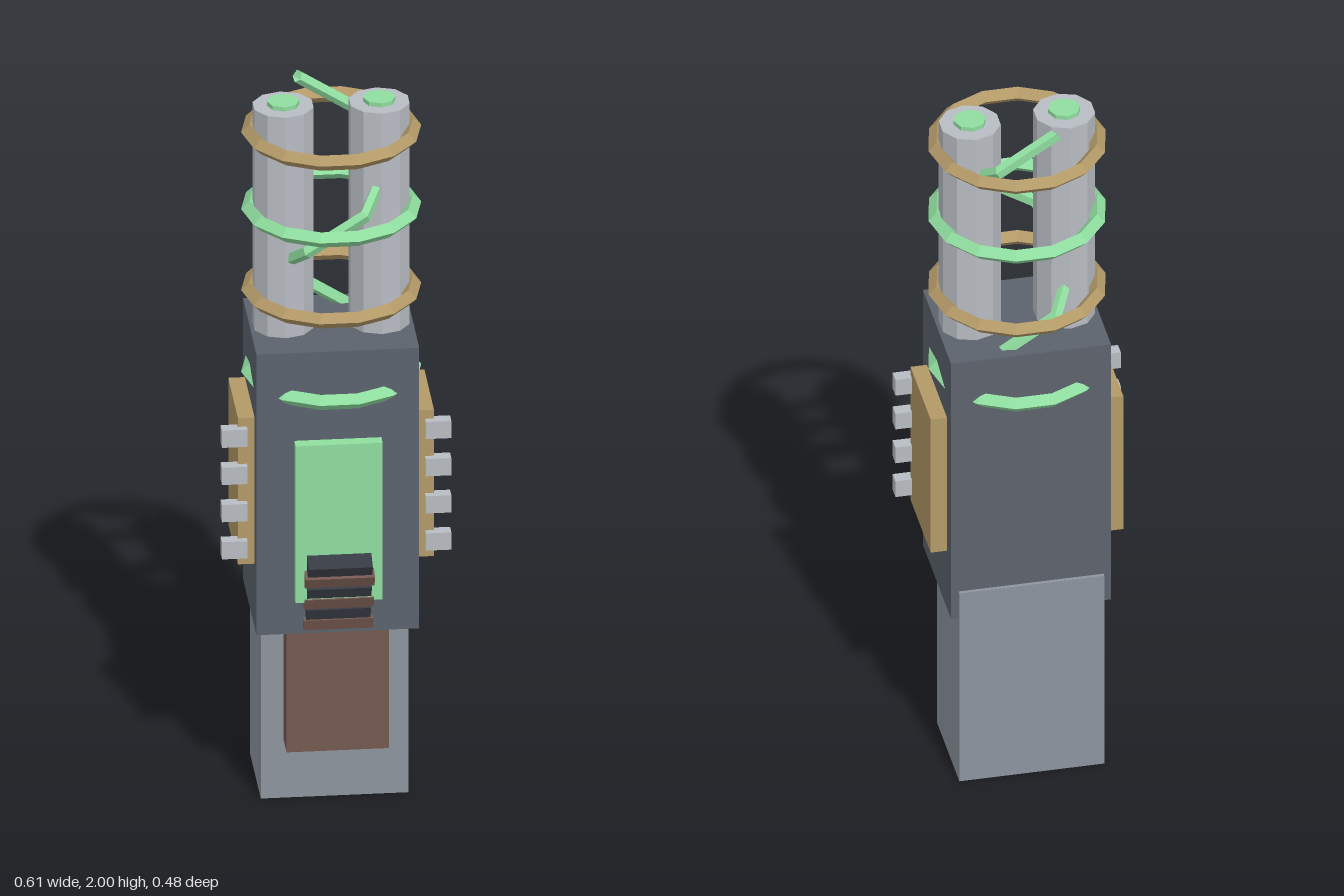
import * as THREE from 'three';

const mat = (color) => new THREE.MeshStandardMaterial({ color, flatShading: true });
const slate = mat(0x5c636d), steel = mat(0x8c949e), silver = mat(0xb8bdc3), green = mat(0x8fdd9f);
const tan = mat(0xb39967), brown = mat(0x75594f), dark = mat(0x363a42);
const AXIS_Z = -0.01; // shared axis of barrels, rings and coil

// Rising coil, sampled coarsely so each turn is a hexagon
class Coil extends THREE.Curve {
  getPoint(t, target = new THREE.Vector3()) {
    const a = Math.PI * (2 - t * 8 / 3);
    return target.set(0.152 * Math.cos(a), 1.214 + 0.776 * t, AXIS_Z + 0.152 * Math.sin(a));
  }
}

export function createModel() {
  const model = new THREE.Group();
  model.name = 'twinBarrelDevice';
  const add = (name, geometry, material, x = 0, y = 0, z = 0) => {
    const mesh = new THREE.Mesh(geometry, material);
    mesh.name = name;
    mesh.position.set(x, y, z);
    model.add(mesh);
    return mesh;
  };
  // Box given by its lower and upper corners
  const box = (name, material, [x0, y0, z0], [x1, y1, z1]) =>
    add(name, new THREE.BoxGeometry(x1 - x0, y1 - y0, z1 - z0), material,
      (x0 + x1) / 2, (y0 + y1) / 2, (z0 + z1) / 2);

  // Handle, body and front panels
  box('handle', steel, [-0.195, 0, -0.195], [0.195, 0.6, 0.08]);
  box('body', slate, [-0.215, 0.515, -0.185], [0.215, 1.33, 0.165]);
  box('gripPad', brown, [-0.135, 0.17, 0.04], [0.135, 0.56, 0.163]);
  box('frontPanel', green, [-0.115, 0.62, 0.14], [0.115, 1.075, 0.2]);

  for (const side of [-1, 1]) {
    const name = side > 0 ? 'left' : 'right';
    // Side plate with its column of pegs
    add(name + 'Plate', new THREE.BoxGeometry(0.08, 0.425, 0.25), tan, side * 0.219, 0.912, -0.01);
    for (let i = 0; i < 4; i++) {
      add(name + 'Peg', new THREE.BoxGeometry(0.068, 0.05, 0.035), silver,
        side * 0.269, 0.75 + i * 0.108, 0.117);
    }
    // Barrel with glowing core
    add(name + 'Barrel', new THREE.CylinderGeometry(0.082, 0.082, 0.72, 10), silver, side * 0.127, 1.61, AXIS_Z);
    add(name + 'Core', new THREE.CylinderGeometry(0.043, 0.043, 0.7, 8), green, side * 0.127, 1.632, AXIS_Z);
  }

  // Rings around the barrels, the lowest half sunk in the body
  [[1.2, green], [1.437, tan], [1.672, green], [1.895, tan]].forEach(([y, material]) => {
    const ring = add('ring', new THREE.TorusGeometry(0.216, 0.022, 4, 14), material, 0, y, AXIS_Z);
    ring.rotation.x = Math.PI / 2;
  });

  // Coil winding between the barrels
  const wire = new THREE.MeshStandardMaterial({ color: 0x8fdd9f, flatShading: true, side: THREE.DoubleSide });
  add('coil', new THREE.TubeGeometry(new Coil(), 8, 0.018, 5, false), wire);

  // Curved stack of tilted slats at the lower front
  for (let i = 0; i < 6; i++) {
    const isDark = i % 2 === 0;
    const slat = add('slat', new THREE.BoxGeometry(isDark ? 0.17 : 0.184, 0.034, 0.075),
      isDark ? dark : brown, 0, 0.737 - i * 0.037, 0.2 - i * 0.0125);
    slat.rotation.x = 0.5 - i * 0.04;
  }
  return model;
}
